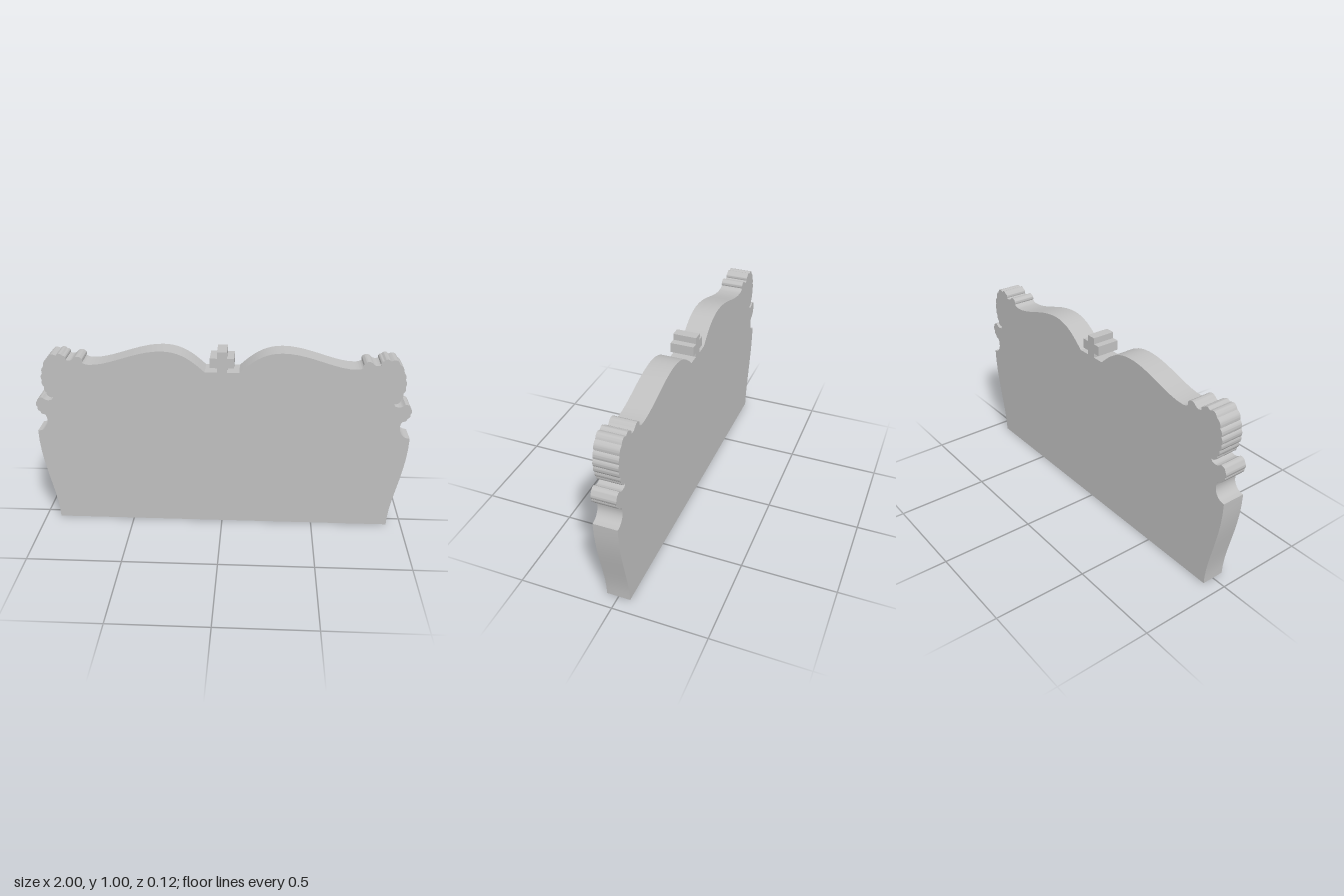
import * as THREE from 'three';
import { toCreasedNormals } from 'three/addons/utils/BufferGeometryUtils.js';

const DEPTH = 0.125;

// Adds a row of small rounded lobes that bulge outward between the given cusps.
function scallops(path, cusps, bulge) {
  for (const [x, y] of cusps) {
    const p = path.currentPoint.clone();
    const dx = x - p.x, dy = y - p.y;
    path.quadraticCurveTo((p.x + x) / 2 + dy * bulge, (p.y + y) / 2 - dx * bulge, x, y);
  }
}

// Outline of the +x half, from the bottom corner up and over to the centre.
function halfOutline() {
  const p = new THREE.Path();
  p.moveTo(0.92, 0);
  // swelling side
  p.bezierCurveTo(0.92, 0.16, 1.0, 0.32, 1.0, 0.535);
  // hollow under the scroll
  p.bezierCurveTo(0.965, 0.535, 0.942, 0.565, 0.942, 0.595);
  p.quadraticCurveTo(0.942, 0.625, 0.955, 0.633);
  // small leaf
  scallops(p, [[0.977, 0.65], [0.99, 0.675], [0.99, 0.708], [0.96, 0.73]], 0.4);
  p.quadraticCurveTo(0.94, 0.71, 0.918, 0.716);
  p.quadraticCurveTo(0.9, 0.718, 0.9, 0.735);
  // large leaf
  scallops(p, [[0.92, 0.737], [0.932, 0.76], [0.942, 0.793], [0.95, 0.83],
    [0.946, 0.868], [0.935, 0.907], [0.912, 0.95]], 0.35);
  scallops(p, [[0.865, 0.967], [0.83, 0.968], [0.815, 0.945]], 0.6);
  // little curl
  p.quadraticCurveTo(0.79, 0.935, 0.775, 0.953);
  scallops(p, [[0.735, 0.957], [0.73, 0.933]], 0.4);
  // sweeping crest
  p.quadraticCurveTo(0.72, 0.92, 0.69, 0.92);
  p.bezierCurveTo(0.58, 0.92, 0.45, 1.0, 0.315, 1.0);
  p.bezierCurveTo(0.21, 1.0, 0.15, 0.945, 0.09, 0.89);
  // stepped cross finial
  for (const [x, y] of [[0.026, 0.89], [0.026, 0.914], [0.063, 0.914],
    [0.063, 0.966], [0.026, 0.966], [0.026, 1.0]]) p.lineTo(x, y);
  return p.getPoints(10);
}

export function createModel() {
  const group = new THREE.Group();
  group.name = 'headboard';

  const greyPaint = new THREE.MeshStandardMaterial({ color: 0xc0c0c0 });
  greyPaint.name = 'greyPaint';

  const half = halfOutline();
  const mirrored = half.map((v) => new THREE.Vector2(-v.x, v.y)).reverse();
  const shape = new THREE.Shape([...half, ...mirrored]);

  const slab = new THREE.ExtrudeGeometry(shape, { depth: DEPTH, bevelEnabled: false, steps: 1 });
  slab.translate(0, 0, -DEPTH / 2);

  const panel = new THREE.Mesh(toCreasedNormals(slab, 0.5), greyPaint);
  panel.name = 'carvedPanel';
  group.add(panel);
  return group;
}
